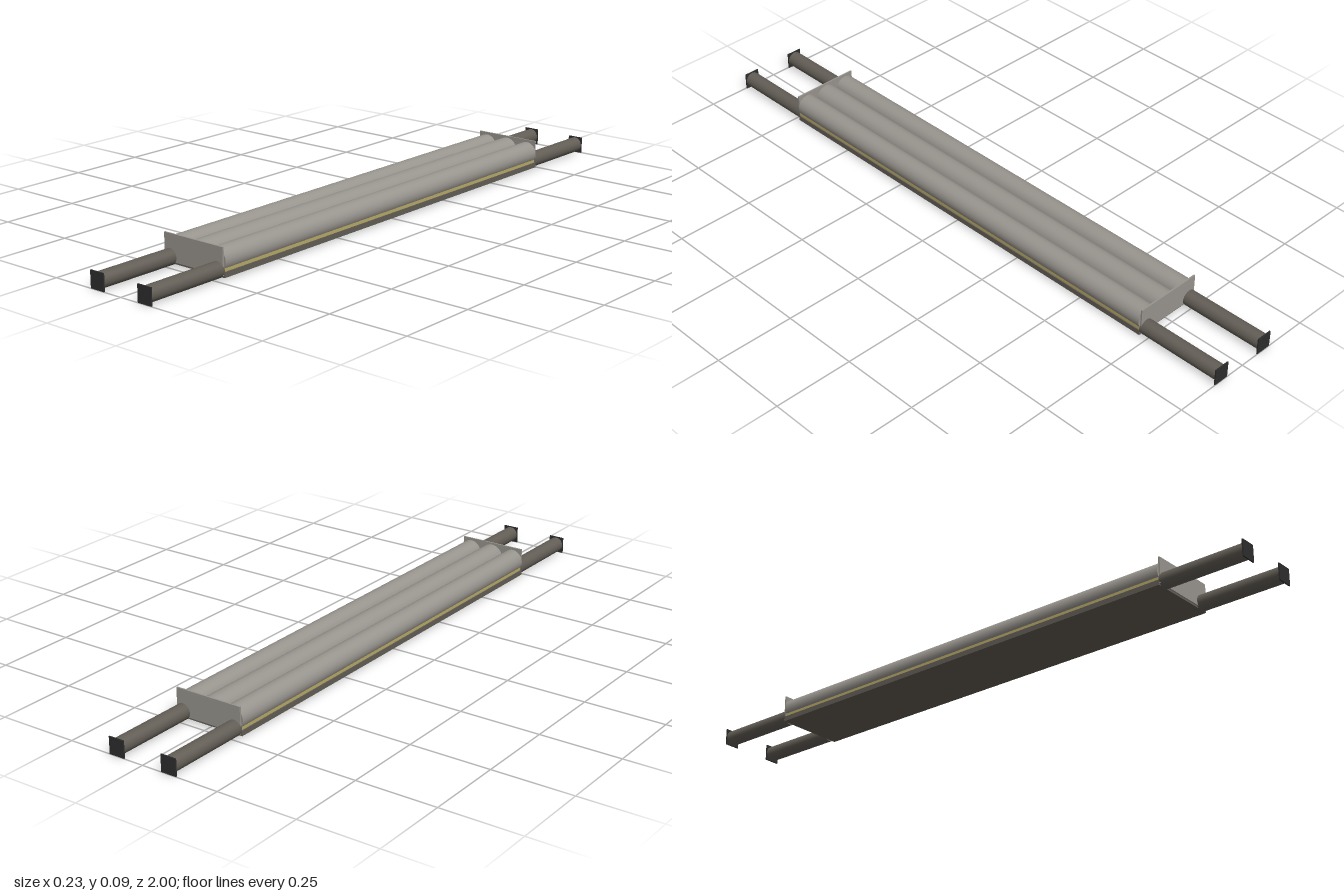
import * as THREE from 'three';

export function createModel() {
  const group = new THREE.Group();
  const material = (name, color) => {
    const m = new THREE.MeshStandardMaterial({ color });
    m.name = name;
    return m;
  };
  const grey = material('warmGrey', 0x98948e);
  const brown = material('darkBrownGrey', 0x625d55);
  const yellow = material('dullYellow', 0xb8a968);
  const black = material('charcoal', 0x2d2d2d);

  const add = (name, geometry, mat, x, y, z) => {
    const mesh = new THREE.Mesh(geometry, mat);
    mesh.name = name;
    mesh.position.set(x, y, z);
    group.add(mesh);
    return mesh;
  };
  const box = (name, mat, w, h, d, x, y, z) =>
    add(name, new THREE.BoxGeometry(w, h, d), mat, x, y, z);
  const rod = (name, mat, r, length, x, y, z) =>
    add(name, new THREE.CylinderGeometry(r, r, length, 32).rotateX(Math.PI / 2), mat, x, y, z);

  // Base slab and the coloured layer between slab and rolls
  box('baseSlab', brown, 0.226, 0.016, 1.456, 0, 0.014, 0);
  box('middleLayer', yellow, 0.22, 0.022, 1.45, 0, 0.033, 0);

  // Three long rolls lying side by side
  rod('centreRoll', grey, 0.04, 1.45, 0, 0.048, 0);
  for (const side of [-1, 1]) {
    rod('outerRoll', grey, 0.036, 1.45, side * 0.079, 0.05, 0);
  }

  for (const end of [-1, 1]) {
    // Flat plate closing each end of the rolls
    box('endPlate', grey, 0.22, 0.081, 0.005, 0, 0.0525, end * 0.729);
    // Carrying poles with square caps
    for (const side of [-1, 1]) {
      rod('pole', brown, 0.024, 0.27, side * 0.089, 0.026, end * 0.862);
      box('poleCap', black, 0.05, 0.052, 0.004, side * 0.089, 0.026, end * 0.998);
    }
  }
  return group;
}
